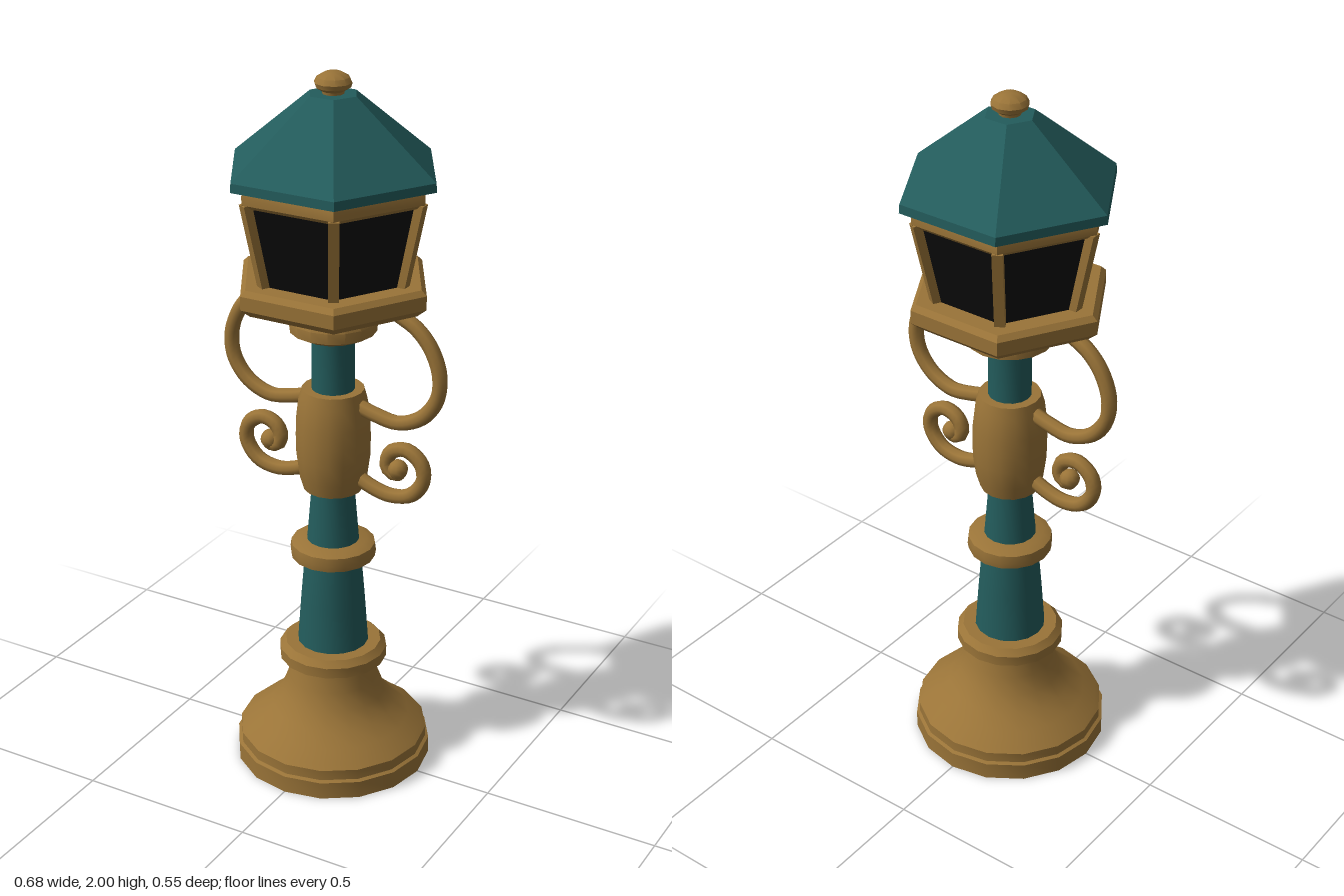
import * as THREE from 'three';
import { toCreasedNormals } from 'three/addons/utils/BufferGeometryUtils.js';

export function createModel() {
  const root = new THREE.Group();
  root.name = 'streetLamp';

  const material = (name, color) => {
    const m = new THREE.MeshStandardMaterial({ color });
    m.name = name;
    return m;
  };
  const gold = material('agedBrass', 0x9a7438);
  const teal = material('tealPaint', 0x235c5c);
  const black = material('darkGlass', 0x0a0a0a);

  const add = (name, geometry, mat, parent = root) => {
    const mesh = new THREE.Mesh(geometry, mat);
    mesh.name = name;
    parent.add(mesh);
    return mesh;
  };

  // Turned part from [radius, y] pairs, listed bottom to top and closed at both ends
  const turned = (name, profile, mat, sides = 16, start = 0) => {
    const closed = [[0, profile[0][1]], ...profile, [0, profile.at(-1)[1]]];
    const points = closed.map(([r, y]) => new THREE.Vector2(r, y));
    const lathe = new THREE.LatheGeometry(points, sides, start);
    return add(name, toCreasedNormals(lathe, 0.66), mat);
  };
  // Six-sided part with corners on the x axis
  const hexagonal = (name, profile, mat) => turned(name, profile, mat, 6, Math.PI / 2);

  // Stepped, bell-shaped foot and its collar
  turned('base', [
    [0.277, 0], [0.277, 0.05], [0.268, 0.055], [0.268, 0.085], [0.255, 0.097],
    [0.218, 0.125], [0.178, 0.16], [0.147, 0.2], [0.128, 0.25], [0.116, 0.31],
  ], gold);
  turned('baseCollar', [[0.135, 0.305], [0.152, 0.315], [0.152, 0.345], [0.135, 0.363]], gold);

  // Tapered post with ring and swollen middle
  turned('lowerPost', [[0.1, 0.36], [0.09, 0.5], [0.08, 0.62], [0.071, 0.7], [0.058, 0.86]], teal);
  turned('postRing', [[0.095, 0.622], [0.117, 0.632], [0.12, 0.65], [0.117, 0.672], [0.095, 0.683]], gold);
  turned('barrel', [
    [0.082, 0.84], [0.094, 0.88], [0.102, 0.94], [0.103, 0.99],
    [0.102, 1.04], [0.095, 1.1], [0.085, 1.135],
  ], gold);
  turned('upperPost', [[0.059, 1.12], [0.059, 1.31]], teal);
  turned('neckRing', [[0.085, 1.288], [0.118, 1.305], [0.12, 1.335], [0.105, 1.36]], gold);
  turned('lanternDish', [[0.09, 1.35], [0.105, 1.365], [0.14, 1.392]], gold);

  // Lantern: floor, tapered glass, head rail and roof
  hexagonal('lanternFloor', [[0.25, 1.388], [0.277, 1.41], [0.277, 1.448], [0.262, 1.462]], gold);
  hexagonal('lanternGlass', [[0.204, 1.455], [0.252, 1.69]], black);
  hexagonal('lanternRail', [[0.258, 1.682], [0.268, 1.692], [0.268, 1.715], [0.26, 1.735]], gold);
  hexagonal('roof', [[0.3, 1.73], [0.298, 1.754], [0.068, 1.945]], teal);

  // Slanted corner bars
  const bars = new THREE.Group();
  bars.name = 'cornerBars';
  root.add(bars);
  for (let i = 0; i < 6; i++) {
    const corner = new THREE.Group();
    corner.name = 'cornerBar' + (i + 1);
    corner.rotation.y = i * Math.PI / 3;
    bars.add(corner);
    const bar = add('bar', new THREE.BoxGeometry(0.026, 0.245, 0.028), gold, corner);
    bar.position.set(0.23, 1.573, 0);
    bar.rotation.z = -Math.atan2(0.05, 0.235);
  }

  // Finial
  turned('finial', [
    [0.028, 1.94], [0.03, 1.952], [0.046, 1.962], [0.05, 1.974],
    [0.043, 1.988], [0.022, 2.0],
  ], gold, 10);

  // Scrolled brackets, one pair on each side
  const upperPath = [
    [0.07, 1.1], [0.13, 1.083], [0.2, 1.074], [0.27, 1.105], [0.313, 1.165],
    [0.319, 1.235], [0.293, 1.305], [0.25, 1.353], [0.2, 1.38],
  ];
  const lowerPath = [
    [0.07, 0.89], [0.12, 0.867], [0.18, 0.855], [0.24, 0.87], [0.277, 0.92],
    [0.27, 0.97], [0.225, 1.0], [0.18, 0.985], [0.166, 0.95], [0.18, 0.925], [0.2, 0.925],
  ];
  const scroll = (name, path, parent) => {
    const curve = new THREE.CatmullRomCurve3(path.map(([x, y]) => new THREE.Vector3(x, y, 0)));
    add(name, new THREE.TubeGeometry(curve, 32, 0.021, 8), gold, parent);
    // rounded tip closing the free end
    const [x, y] = path.at(-1);
    add(name + 'Tip', new THREE.SphereGeometry(0.021, 8, 6), gold, parent).position.set(x, y, 0);
  };
  for (const side of ['left', 'right']) {
    const bracket = new THREE.Group();
    bracket.name = side + 'Bracket';
    bracket.rotation.y = side === 'left' ? 0 : Math.PI;
    root.add(bracket);
    scroll('upperScroll', upperPath, bracket);
    scroll('lowerScroll', lowerPath, bracket);
    add('scrollBead', new THREE.SphereGeometry(0.028, 10, 8), gold, bracket).position.set(0.2, 0.937, 0);
  }

  return root;
}
